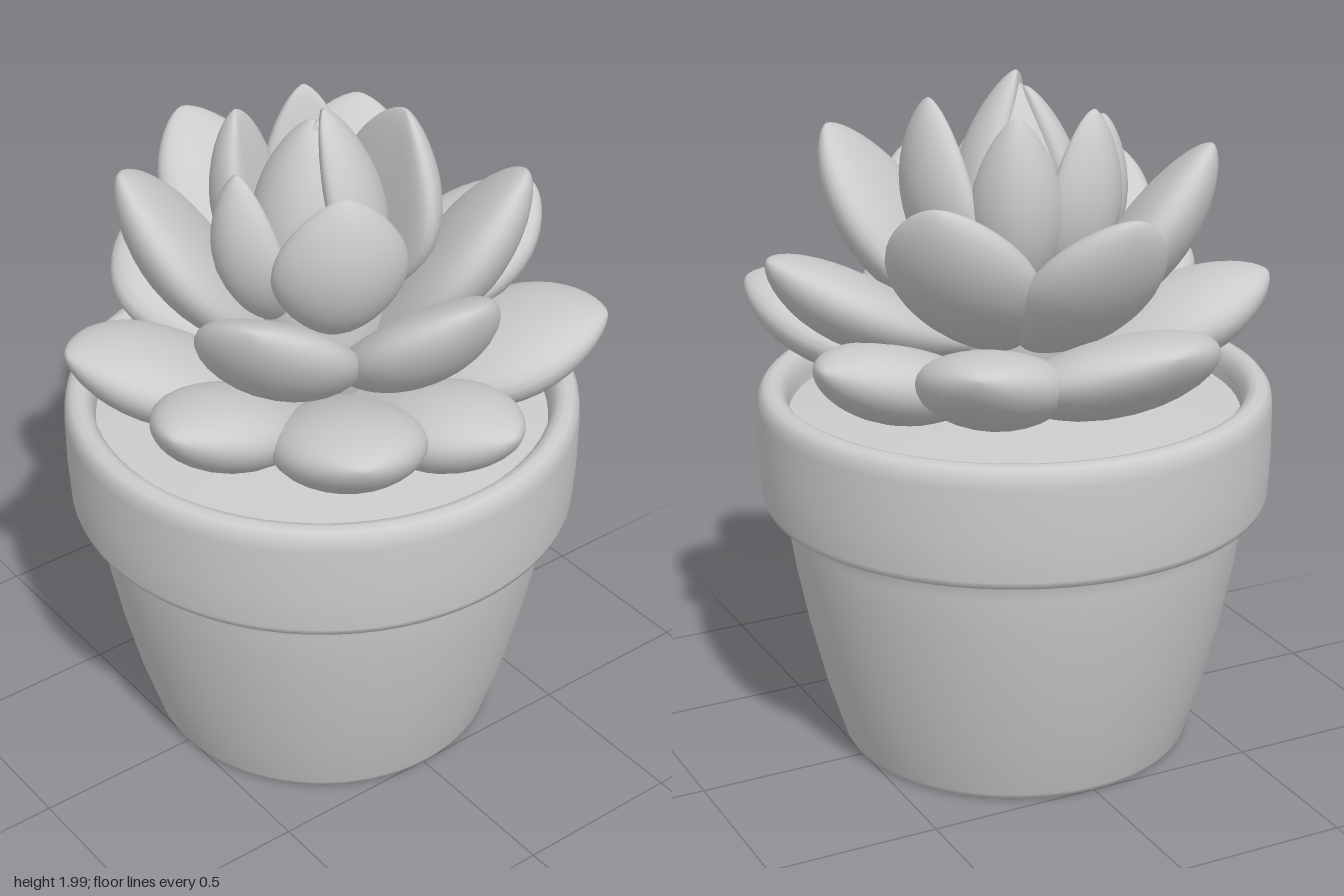
import * as THREE from 'three';
import { mergeVertices } from 'three/addons/utils/BufferGeometryUtils.js';

const material = new THREE.MeshStandardMaterial({ color: 0xcccccc });

function addMesh(group, name, geometry) {
  const mesh = new THREE.Mesh(geometry, material);
  mesh.name = name;
  group.add(mesh);
  return mesh;
}

// Fleshy leaf: a sphere swept along a bowed curve from the stem to the tip.
// Its cross-section is an ellipse whose sides are lifted by cup.
function leafGeometry(tip, azimuth, { width, thick, baseR, baseY, bow, cup }) {
  const out = new THREE.Vector3(Math.sin(azimuth), 0, Math.cos(azimuth));
  const side = new THREE.Vector3(-out.z, 0, out.x);
  const base = out.clone().multiplyScalar(baseR).setY(baseY);
  const control = base.clone().lerp(tip, 0.5)
    .addScaledVector(out, bow * 0.7).add(new THREE.Vector3(0, -bow * 0.7, 0));
  const spine = new THREE.QuadraticBezierCurve3(base, control, tip);

  const geometry = new THREE.SphereGeometry(1, 28, 24);
  const pos = geometry.attributes.position;
  for (let i = 0; i < pos.count; i++) {
    const y = pos.getY(i);
    const t = THREE.MathUtils.clamp((y + 1) / 2, 0, 1);
    const ring = Math.sqrt(Math.max(1 - y * y, 1e-9));
    const a = pos.getX(i) / ring, b = pos.getZ(i) / ring;
    // narrow at the stem, broadest past the middle, softly pointed at the tip
    const swell = Math.pow(Math.max(Math.sin(Math.PI * Math.pow(t, 1.3)), 0), 0.62);
    const normal = side.clone().cross(spine.getTangent(t));
    const p = spine.getPoint(t)
      .addScaledVector(side, a * swell * width / 2)
      .addScaledVector(normal, swell * (b * thick / 2 + a * a * cup));
    pos.setXYZ(i, p.x, p.y, p.z);
  }
  geometry.deleteAttribute('uv');
  geometry.deleteAttribute('normal');
  const merged = mergeVertices(geometry, 1e-5);
  merged.computeVertexNormals();
  return merged;
}

// Each leaf: tip x, y, z, width, and optionally its azimuth
function addRing(parent, name, leaves, options) {
  const ring = new THREE.Group();
  ring.name = name + 'Ring';
  leaves.forEach(([x, y, z, width, azimuth = Math.atan2(x, z)]) => {
    const tip = new THREE.Vector3(x, y, z);
    addMesh(ring, name, leafGeometry(tip, azimuth, { ...options, width }));
  });
  parent.add(ring);
}

export function createModel() {
  const model = new THREE.Group();
  model.name = 'pottedSucculent';

  // Tapered pot with a thick rounded rim
  const potProfile = [
    [0, 0.01], [0.49, 0.01], [0.505, 0.013], [0.515, 0.03], [0.567, 0.2], [0.615, 0.4],
    [0.65, 0.58], [0.666, 0.7], [0.67, 0.765], [0.69, 0.762], [0.712, 0.757],
    [0.728, 0.764], [0.736, 0.785], [0.742, 0.9], [0.742, 1.05], [0.737, 1.085],
    [0.722, 1.104], [0.7, 1.11], [0.68, 1.105], [0.662, 1.085], [0.655, 1.05], [0.65, 0.98],
  ].map(([r, y]) => new THREE.Vector2(r, y));
  addMesh(model, 'pot', new THREE.LatheGeometry(potProfile, 72));

  // Soil, slightly raised towards the stem
  const soilProfile = [[0.655, 1.02], [0.4, 1.04], [0.15, 1.06], [0, 1.06]]
    .map(([r, y]) => new THREE.Vector2(r, y));
  addMesh(model, 'soil', new THREE.LatheGeometry(soilProfile, 48));

  // Stem core that the leaves grow from
  const core = addMesh(model, 'stem', new THREE.SphereGeometry(1, 24, 20));
  core.scale.set(0.19, 0.38, 0.19);
  core.position.y = 1.34;

  addRing(model, 'outerLeaf', [
    [-0.11, 1.38, -0.75, 0.59], [0.43, 1.37, -0.65, 0.42], [0.70, 1.31, -0.25, 0.38],
    [0.62, 1.36, 0.51, 0.52], [0.08, 1.28, 0.745, 0.38], [-0.38, 1.34, 0.68, 0.43],
    [-0.71, 1.36, 0.29, 0.39], [-0.73, 1.38, -0.19, 0.45],
  ], { thick: 0.22, baseR: 0.08, baseY: 1.11, bow: 0.05, cup: 0.01 });

  addRing(model, 'middleLeaf', [
    [-0.02, 1.73, -0.65, 0.4], [0.42, 1.75, -0.38, 0.44], [0.73, 1.54, 0.05, 0.43],
    [0.41, 1.82, 0.38, 0.46], [0.0, 1.67, 0.66, 0.42], [-0.51, 1.66, 0.38, 0.45],
    [-0.47, 1.81, -0.29, 0.47],
  ], { thick: 0.2, baseR: 0.07, baseY: 1.22, bow: 0.1, cup: 0.02 });

  addRing(model, 'innerLeaf', [
    [-0.13, 1.93, -0.22, 0.28], [0.11, 1.93, -0.23, 0.26], [0.23, 1.94, 0.07, 0.46, 1.45],
    [-0.12, 1.86, 0.26, 0.38], [-0.27, 1.86, -0.02, 0.27],
  ], { thick: 0.15, baseR: 0.1, baseY: 1.36, bow: 0.17, cup: 0.045 });

  // Closed central bud of overlapping petals
  addRing(model, 'budPetal', [
    [-0.02, 2.0, 0.03, 0.36, 0.9], [-0.01, 1.97, 0.03, 0.34, 2.9], [-0.03, 1.96, 0.0, 0.34, 4.9],
  ], { thick: 0.16, baseR: 0.08, baseY: 1.4, bow: 0.19, cup: 0.04 });

  return model;
}
